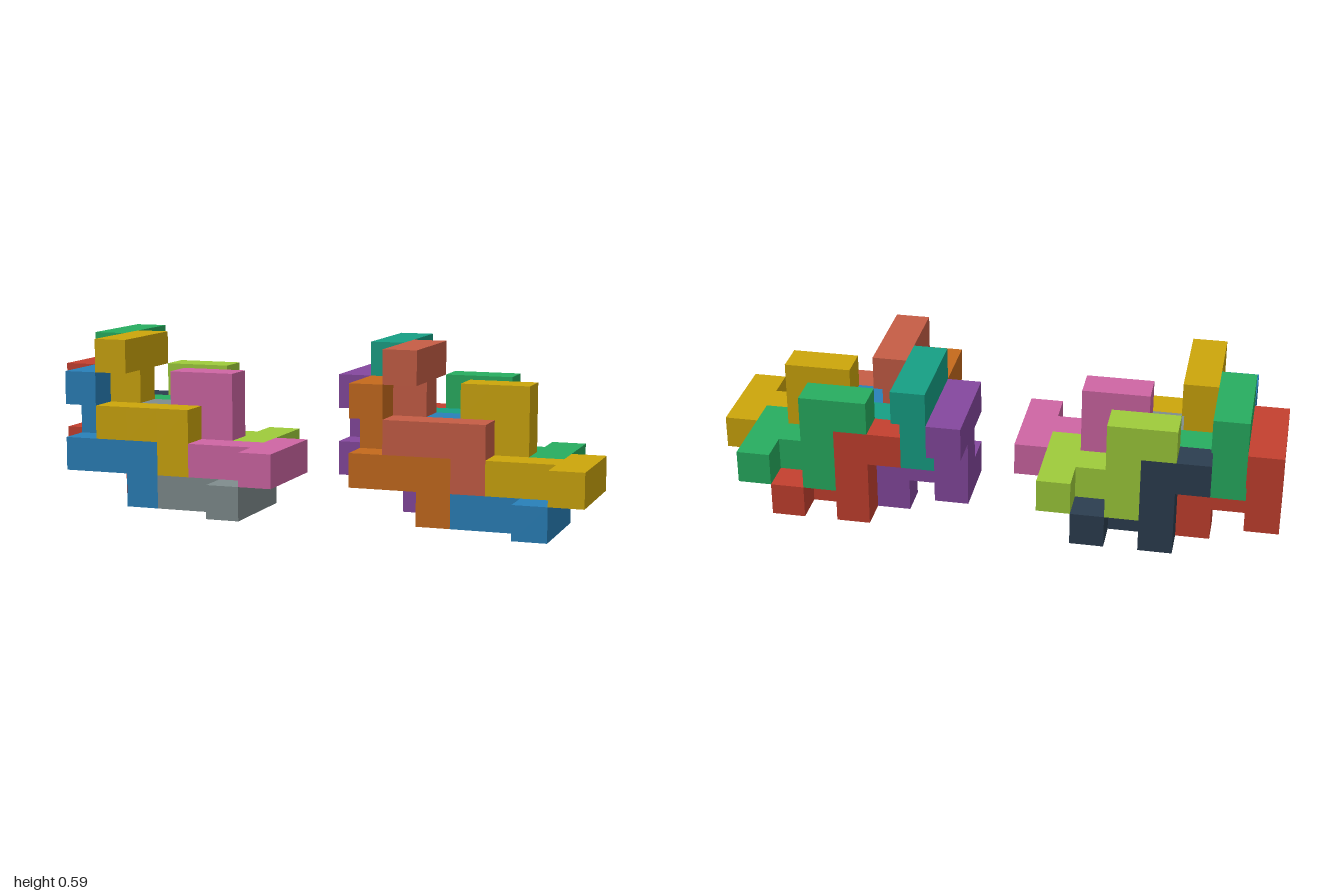
import * as THREE from 'three';
import { mergeGeometries } from 'three/addons/utils/BufferGeometryUtils.js';

const UNIT = 2 / 17; // edge of one cube

// Upright piece: crossbar on top, stem down, then a step forward, right and down
const UPRIGHT = [
  [0, 3, 0], [0, 3, 1], [0, 3, 2], [0, 2, 1], [0, 1, 1],
  [0, 1, 2], [1, 1, 2], [2, 1, 2], [2, 0, 2],
];
// Lying piece: crossbar at the right, stem to the left, then a step back, up and left
const LYING = [
  [6, 0, 3], [6, 0, 4], [6, 0, 5], [5, 0, 4], [4, 0, 4],
  [4, 0, 3], [4, 1, 3], [4, 2, 3], [3, 2, 3],
];

// Skin of a set of cubes: a square wherever a cube has no neighbour in its own piece
function cubeSkin(cells) {
  const key = (x, y, z) => `${x},${y},${z}`;
  const taken = new Set(cells.map((c) => key(...c)));
  const front = new THREE.Vector3(0, 0, 1);
  const faces = [];
  for (const [x, y, z] of cells) {
    for (const axis of [0, 1, 2]) {
      for (const sign of [-1, 1]) {
        const d = [0, 0, 0];
        d[axis] = sign;
        if (taken.has(key(x + d[0], y + d[1], z + d[2]))) continue;
        const normal = new THREE.Vector3(...d);
        const face = new THREE.PlaneGeometry(1, 1);
        face.applyQuaternion(new THREE.Quaternion().setFromUnitVectors(front, normal));
        face.translate(x + 0.5 + d[0] / 2, y + 0.5 + d[1] / 2, z + 0.5 + d[2] / 2);
        faces.push(face);
      }
    }
  }
  return mergeGeometries(faces).scale(UNIT, UNIT, UNIT);
}

// Where each of the eight pieces sits in a cluster, with its colour in both clusters
const PIECES = [
  { name: 'backUprightOuter', lying: false, at: [0, 0, 0], colors: [0xc4402f, 0x85489e] },
  { name: 'backUprightInner', lying: false, at: [1, 1, 0], colors: [0x27ae60, 0x16a085] },
  { name: 'frontUprightOuter', lying: false, at: [1, 0, 2], colors: [0x2980b9, 0xc56a1c] },
  { name: 'frontUprightInner', lying: false, at: [2, 1, 2], colors: [0xcda60a, 0xc65d45] },
  { name: 'frontLyingLower', lying: true, at: [0, 0, 0], colors: [0x7f8c8d, 0x2980b9] },
  { name: 'frontLyingUpper', lying: true, at: [1, 1, 0], colors: [0xcf66a4, 0xcda60a] },
  { name: 'backLyingLower', lying: true, at: [-1, 0, -2], colors: [0x2c3e50, 0xc4402f] },
  { name: 'backLyingUpper', lying: true, at: [0, 1, -2], colors: [0x9fcc3b, 0x27ae60] },
];

export function createModel() {
  const model = new THREE.Group();
  model.name = 'interlockingBlocks';
  const upright = cubeSkin(UPRIGHT);
  const lying = cubeSkin(LYING);

  // Two equal clusters side by side, in different colours
  ['rightCluster', 'leftCluster'].forEach((name, i) => {
    const cluster = new THREE.Group();
    cluster.name = name;
    cluster.position.set((i * 9 - 8.5) * UNIT, 0, -3 * UNIT);
    for (const piece of PIECES) {
      const material = new THREE.MeshStandardMaterial({ color: piece.colors[i] });
      const mesh = new THREE.Mesh(piece.lying ? lying : upright, material);
      mesh.name = piece.name;
      mesh.position.set(...piece.at).multiplyScalar(UNIT);
      cluster.add(mesh);
    }
    model.add(cluster);
  });
  return model;
}
